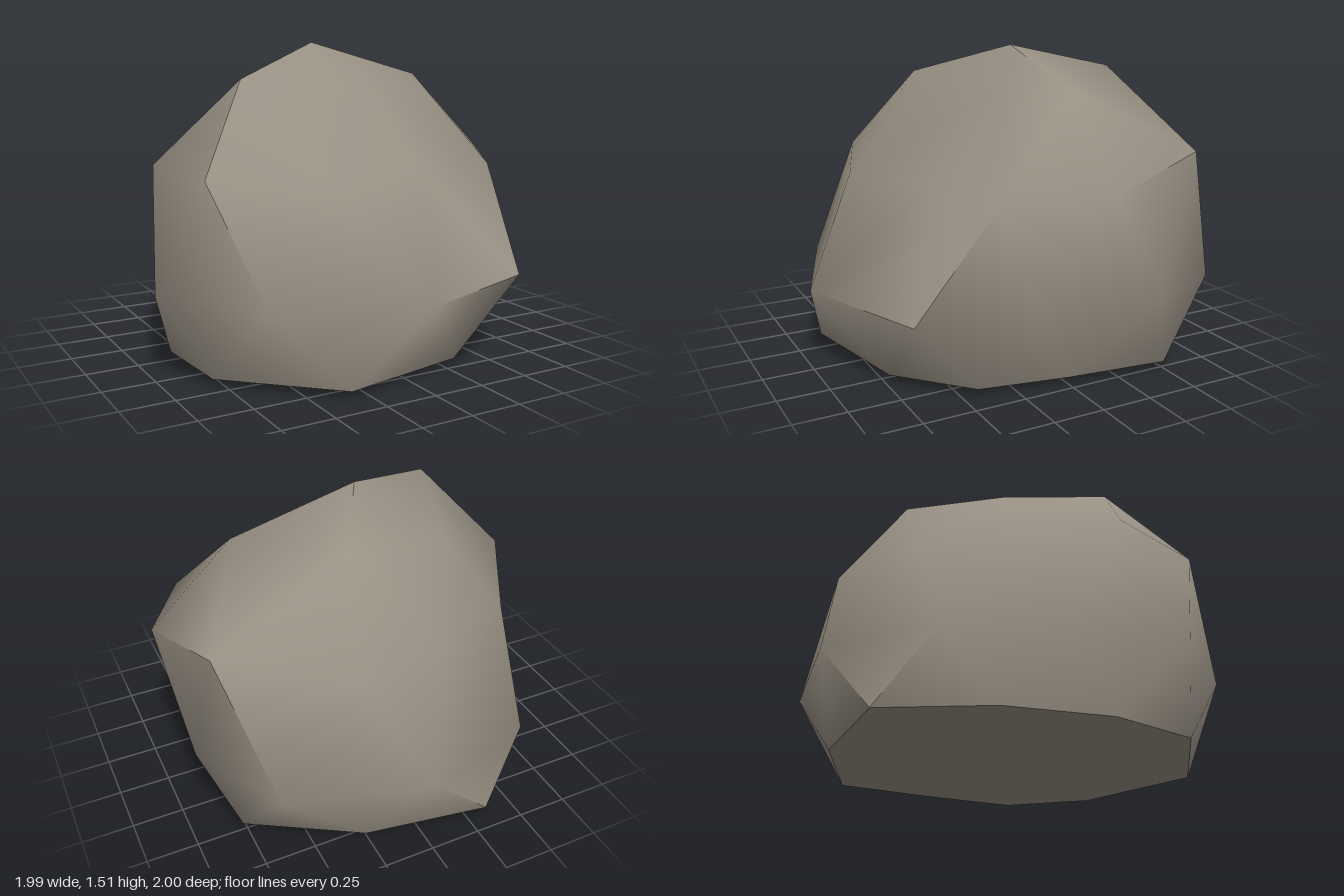
import * as THREE from 'three';

// Cross-section loops of the boulder, each running from +x towards +z.
const top = [[-0.02, 1.51, -0.08]];
const crown = [[0.59, 1.345, -0.06], [0.18, 1.33, 0.07], [-0.55, 1.345, 0.22], [-0.4, 1.23, -0.3], [0.21, 1.41, -0.5]];
const shoulder = [
  [0.99, 0.955, -0.04], [0.75, 0.9, 0.39], [0.27, 0.9, 0.48], [-0.34, 0.87, 0.67], [-0.84, 0.93, 0.48],
  [-0.9, 0.95, 0], [-0.66, 0.85, -0.44], [-0.22, 0.92, -0.66], [0.27, 0.92, -0.83], [0.87, 1.08, -0.55],
];
const belly = [
  [0.83, 0.4, 0.25], [0.67, 0.4, 0.75], [0, 0.4, 1], [-0.68, 0.4, 0.76], [-1, 0.4, 0.27],
  [-0.82, 0.4, -0.25], [-0.62, 0.34, -0.76], [0, 0.4, -1], [0.68, 0.4, -0.81], [0.93, 0.43, -0.36],
];
const foot = [
  [0.71, 0.035, 0], [0.63, 0.035, 0.43], [0.3, 0.035, 0.73], [-0.34, 0.035, 0.86], [-0.8, 0.035, 0.43],
  [-0.83, 0.035, -0.02], [-0.67, 0.035, -0.49], [-0.35, 0.035, -0.91], [0.26, 0.035, -0.81], [0.77, 0.035, -0.5],
];
const sole = [0, 1, 2, 3, 4].map((k) => {
  const a = ((36 + 72 * k) * Math.PI) / 180;
  return [0.5 * Math.cos(a), 0.008, 0.5 * Math.sin(a)];
});
const points = [top, crown, shoulder, belly, foot, sole, [[0, 0, 0]]].flat().map((p) => new THREE.Vector3(...p));

// Vertex numbers in each loop, wrapping around
const loop = (start, count) => (i) => start + ((i + count) % count);
const A = loop(1, 5), B = loop(6, 10), C = loop(16, 10), D = loop(26, 10), E = loop(36, 5), bottom = 41;

function boulderFaces() {
  const faces = [];
  for (let k = 0; k < 5; k++) {
    const j = 2 * k;
    // cap and crown
    faces.push([0, A(k), A(k + 1)], [A(k), B(j), B(j + 1)], [A(k), B(j + 1), A(k + 1)], [A(k + 1), B(j + 1), B(j + 2)]);
    // underside
    faces.push([bottom, E(k), E(k + 1)], [E(k), D(j), D(j + 1)], [E(k), D(j + 1), D(j + 2)], [E(k), E(k - 1), D(j)]);
  }
  // sides
  for (let j = 0; j < 10; j++) {
    faces.push([B(j), C(j - 1), C(j)], [B(j), C(j), B(j + 1)], [C(j - 1), D(j), C(j)], [C(j), D(j), D(j + 1)]);
  }
  return faces;
}

// Smooth normals that break only along edges sharper than the limit
function creasedGeometry(points, faces, limitDegrees) {
  const limit = Math.cos((limitDegrees * Math.PI) / 180);
  const centre = new THREE.Vector3(0, 0.5, 0);
  const tri = new THREE.Triangle();
  const normals = faces.map((f) => {
    const n = tri.set(points[f[0]], points[f[1]], points[f[2]]).getNormal(new THREE.Vector3());
    if (n.dot(points[f[0]].clone().sub(centre)) < 0) {
      f.reverse();
      n.negate();
    }
    return n;
  });
  const cornerAngle = (f, v) => {
    const [a, b] = f.filter((i) => i !== v).map((i) => points[i].clone().sub(points[v]));
    return a.angleTo(b);
  };
  const position = [], normal = [];
  faces.forEach((face, start) => {
    for (const v of face) {
      // walk around the corner across soft edges
      const fan = [start];
      for (const cur of fan) {
        faces.forEach((g, i) => {
          const shared = g.filter((p) => faces[cur].includes(p)).length;
          if (g.includes(v) && shared === 2 && !fan.includes(i) && normals[i].dot(normals[cur]) > limit) fan.push(i);
        });
      }
      const n = new THREE.Vector3();
      for (const i of fan) n.addScaledVector(normals[i], cornerAngle(faces[i], v));
      n.normalize();
      position.push(...points[v].toArray());
      normal.push(...n.toArray());
    }
  });
  const geometry = new THREE.BufferGeometry();
  geometry.setAttribute('position', new THREE.Float32BufferAttribute(position, 3));
  geometry.setAttribute('normal', new THREE.Float32BufferAttribute(normal, 3));
  return geometry;
}

export function createModel() {
  const group = new THREE.Group();
  group.name = 'rock';
  const stone = new THREE.MeshStandardMaterial({ color: 0x989083 });
  stone.name = 'warm grey stone';
  const boulder = new THREE.Mesh(creasedGeometry(points, boulderFaces(), 42), stone);
  boulder.name = 'boulder';
  group.add(boulder);
  return group;
}
